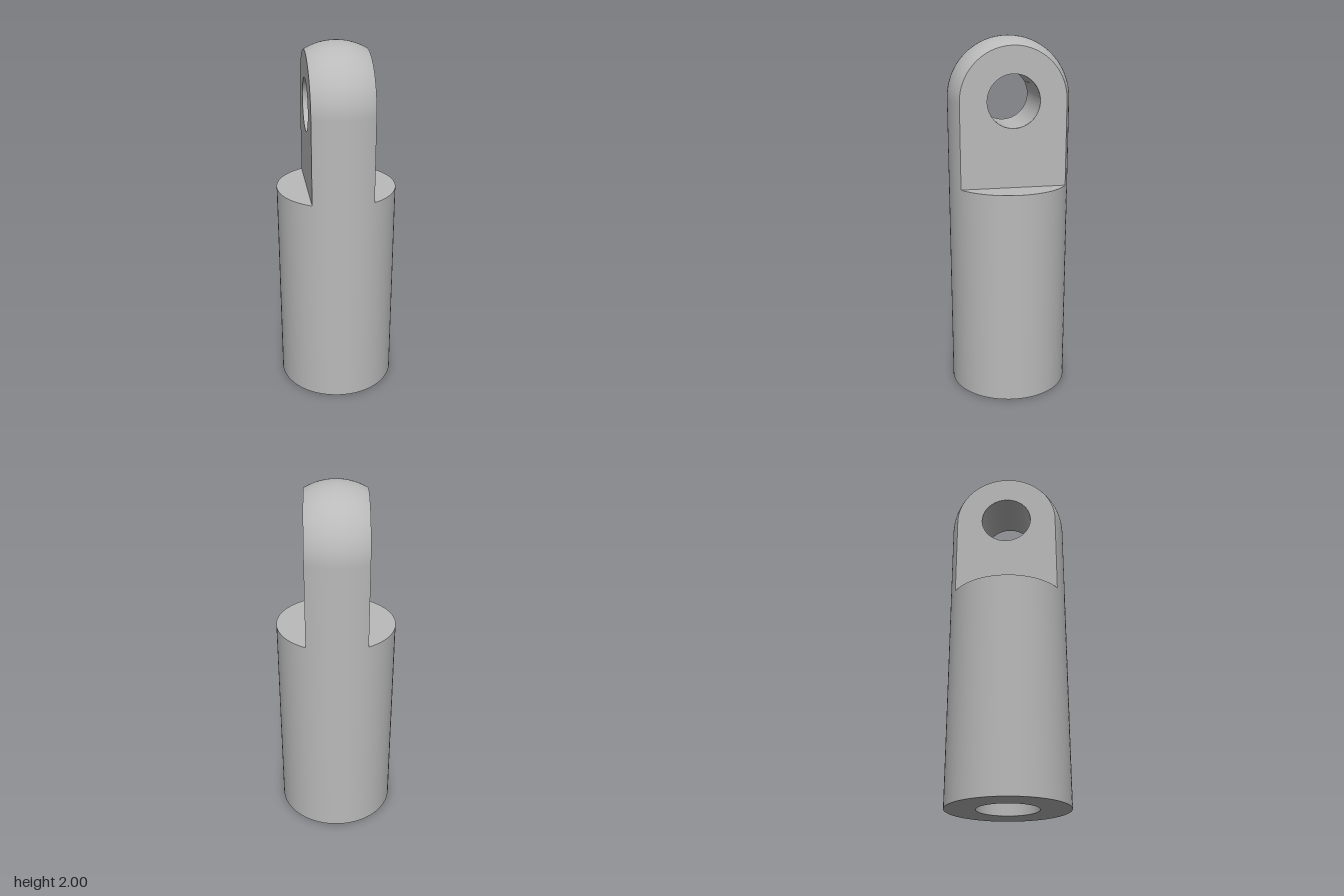
import * as THREE from 'three';
import { ParametricGeometry } from 'three/addons/geometries/ParametricGeometry.js';

const R = 1 / 3;            // rod radius
const H = R / 2;            // half thickness of the tongue
const W = R * Math.cos(Math.PI / 6); // half width of the flat cheeks
const SHOULDER = 1.2;       // height of the step
const EYE = 2 - R;          // height of the eye and dome centre
const EYE_R = 0.143;
const BORE_R = R / 2;
const BORE_TOP = 0.9;
const SEG = 48;

export function createModel() {
  const model = new THREE.Group();
  model.name = 'rodEnd';
  const steel = new THREE.MeshStandardMaterial({ color: 0xbababa });

  const add = (name, geometry, parent = model) => {
    const mesh = new THREE.Mesh(geometry, steel);
    mesh.name = name;
    parent.add(mesh);
    return mesh;
  };
  // One straight profile segment turned about y, so edges between segments stay sharp
  const turn = (x0, y0, x1, y1, segments = 72) =>
    new THREE.LatheGeometry([new THREE.Vector2(x0, y0), new THREE.Vector2(x1, y1)], segments);

  // Hollow cylindrical body
  const body = new THREE.Group();
  body.name = 'body';
  model.add(body);
  add('bodyWall', turn(R, 0, R, SHOULDER), body);
  add('bottomRim', turn(BORE_R, 0, R, 0), body);
  add('boreWall', turn(BORE_R, BORE_TOP, BORE_R, 0), body);
  add('boreEnd', turn(0, BORE_TOP, BORE_R, BORE_TOP), body);

  // Domed outer surface of the tongue: upright wall, arch over the top, wall down again
  const skin = (u, v, target) => {
    const phi = (u - 0.5) * Math.PI / 3;
    const r = R * Math.cos(phi);
    const x = R * Math.sin(phi);
    const s = v * 60;
    if (s < 6) target.set(x, THREE.MathUtils.lerp(SHOULDER, EYE, s / 6), r);
    else if (s > 54) target.set(x, THREE.MathUtils.lerp(EYE, SHOULDER, (s - 54) / 6), -r);
    else {
      const a = (s - 6) / 48 * Math.PI;
      target.set(x, EYE + r * Math.sin(a), r * Math.cos(a));
    }
  };
  const tongue = new THREE.Group();
  tongue.name = 'tongue';
  model.add(tongue);
  add('tongueSkin', new ParametricGeometry(skin, 16, 60), tongue);

  // Flat cheek outline with the eye cut out
  const cheek = new THREE.Shape();
  cheek.moveTo(-W, SHOULDER);
  cheek.lineTo(W, SHOULDER);
  cheek.absarc(0, EYE, W, 0, Math.PI);
  cheek.closePath();
  const eye = new THREE.Path();
  eye.absarc(0, EYE, EYE_R, 0, Math.PI * 2, true);
  cheek.holes.push(eye);

  // Shoulder beside the tongue: a circle segment
  const shelf = new THREE.Shape();
  shelf.absarc(0, 0, R, -Math.PI / 3, Math.PI / 3);
  shelf.closePath();

  for (const [side, label] of [[1, 'left'], [-1, 'right']]) {
    add(label + 'Cheek',
      new THREE.ShapeGeometry(cheek, SEG).rotateY(side * Math.PI / 2).translate(side * H, 0, 0), tongue);
    const shelfGeometry = new THREE.ShapeGeometry(shelf, SEG).rotateX(-Math.PI / 2);
    if (side < 0) shelfGeometry.rotateY(Math.PI);
    add(label + 'Shoulder', shelfGeometry.translate(0, SHOULDER, 0), body);
  }

  // Wall of the cross hole, facing inwards
  add('eyeWall', turn(EYE_R, H, EYE_R, -H, SEG).rotateZ(Math.PI / 2).translate(0, EYE, 0), tongue);

  return model;
}
